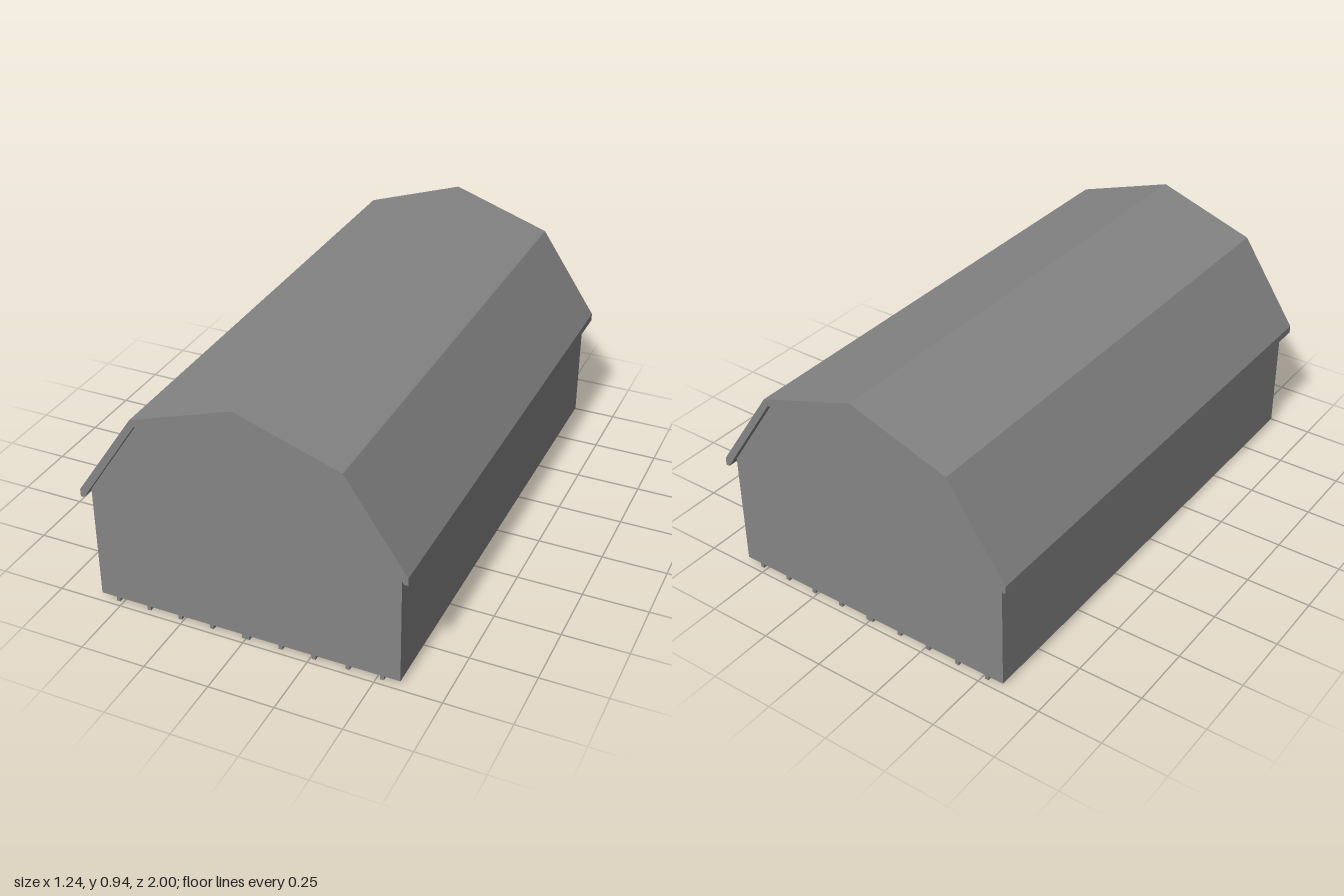
import * as THREE from 'three';

const WALL_X = 0.588, WALL_Z = 0.977, FLOOR = 0.017, EAVE = 0.471;

const material = new THREE.MeshStandardMaterial({
  color: 0x858585, flatShading: true, side: THREE.DoubleSide,
});

export function createModel() {
  const model = new THREE.Group();

  function add(name, geometry, x = 0, y = 0, z = 0) {
    const mesh = new THREE.Mesh(geometry, material);
    mesh.name = name;
    mesh.position.set(x, y, z);
    model.add(mesh);
    return mesh;
  }

  const outline = (points) => new THREE.Shape(points.map(([x, y]) => new THREE.Vector2(x, y)));
  const mirrored = (half) => half.map(([x, y]) => [-x, y]).reverse();

  // Gambrel roof: a bent slab with plumb-cut eaves
  const knee = [0.375, 0.791], ridge = [0, 0.917];
  const half = [[0.39, 0.814], [0.619, 0.475], [0.619, 0.445], [0.605, 0.445], knee];
  const roof = new THREE.ExtrudeGeometry(
    outline([[0, 0.945], ...half, ridge, ...mirrored(half)]),
    { depth: 2, bevelEnabled: false },
  );
  add('roof', roof, 0, 0, -1);

  // Gable end sheets, front and back
  const side = [knee, [WALL_X, EAVE], [WALL_X, FLOOR]];
  const gable = new THREE.ShapeGeometry(outline([ridge, ...side, ...mirrored(side)]));
  add('frontGable', gable, 0, 0, WALL_Z);
  add('backGable', gable, 0, 0, -WALL_Z).rotation.y = Math.PI;

  // Long side sheets; the underside stays open
  const wall = new THREE.PlaneGeometry(2 * WALL_Z, EAVE - FLOOR);
  for (const s of [1, -1]) {
    const mesh = add(s > 0 ? 'leftWall' : 'rightWall', wall, s * WALL_X, (EAVE + FLOOR) / 2, 0);
    mesh.rotation.y = s * Math.PI / 2;
  }

  // Floor runners, the middle one wider
  for (let i = -4; i <= 4; i++) {
    const width = i === 0 ? 0.03 : 0.015;
    const x = 0.128 * i + 0.008 * Math.sign(i);
    add('floorRunner', new THREE.BoxGeometry(width, FLOOR, 2 * WALL_Z), x, FLOOR / 2, 0);
  }

  return model;
}
